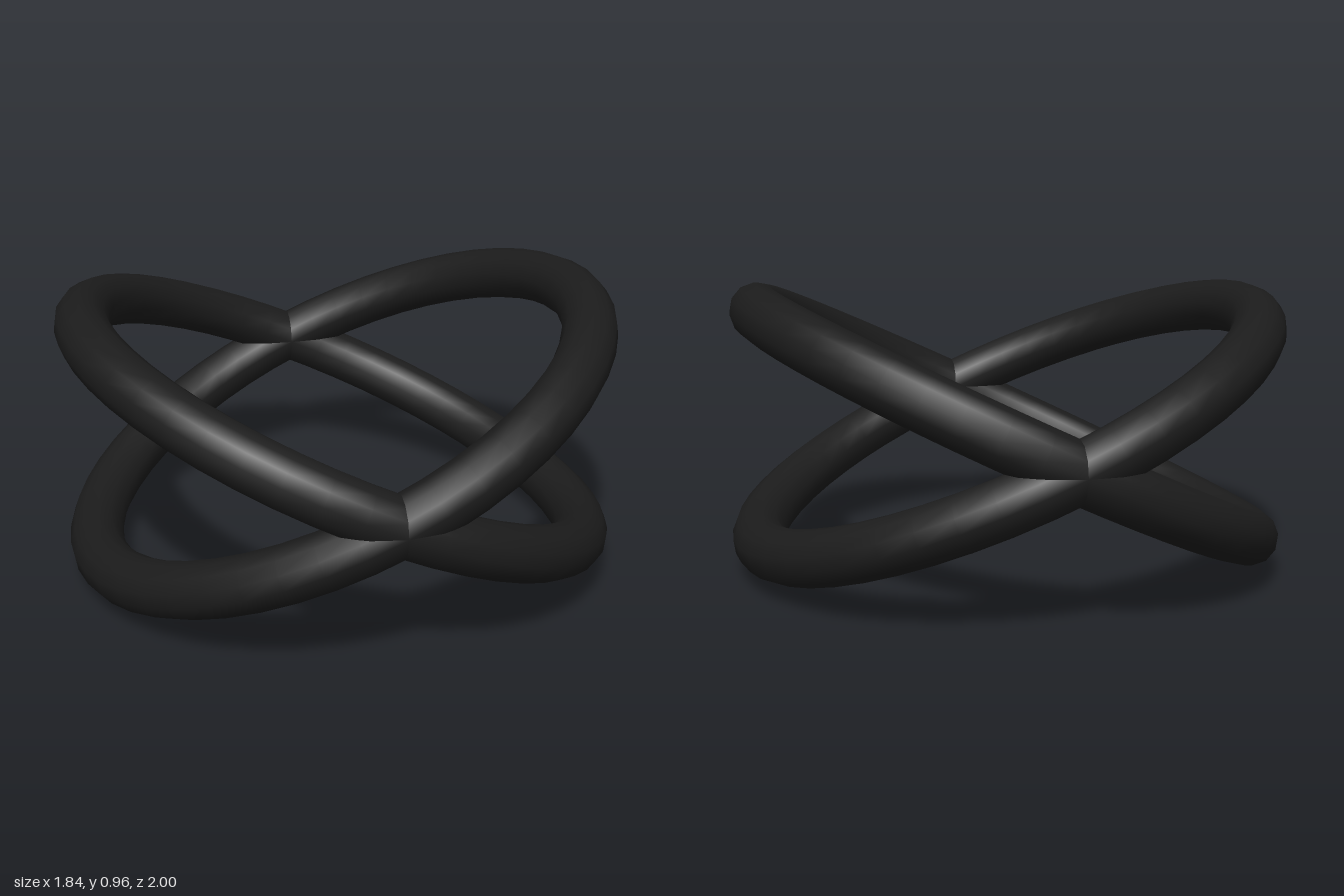
import * as THREE from 'three';

export function createModel() {
  const model = new THREE.Group();
  const material = new THREE.MeshStandardMaterial({ color: 0x1c1c1c });

  // one ring lying flat, shared by both tilted copies
  const ring = new THREE.TorusGeometry(0.91, 0.09, 12, 48);
  ring.rotateX(Math.PI / 2);

  // two rings crossing at the front and back
  const addRing = (name, tilt) => {
    const mesh = new THREE.Mesh(ring, material);
    mesh.name = name;
    mesh.position.y = 0.485;
    mesh.rotation.z = THREE.MathUtils.degToRad(tilt);
    model.add(mesh);
  };
  addRing('ringRaisedLeft', 25.4);
  addRing('ringRaisedRight', -24);

  return model;
}
